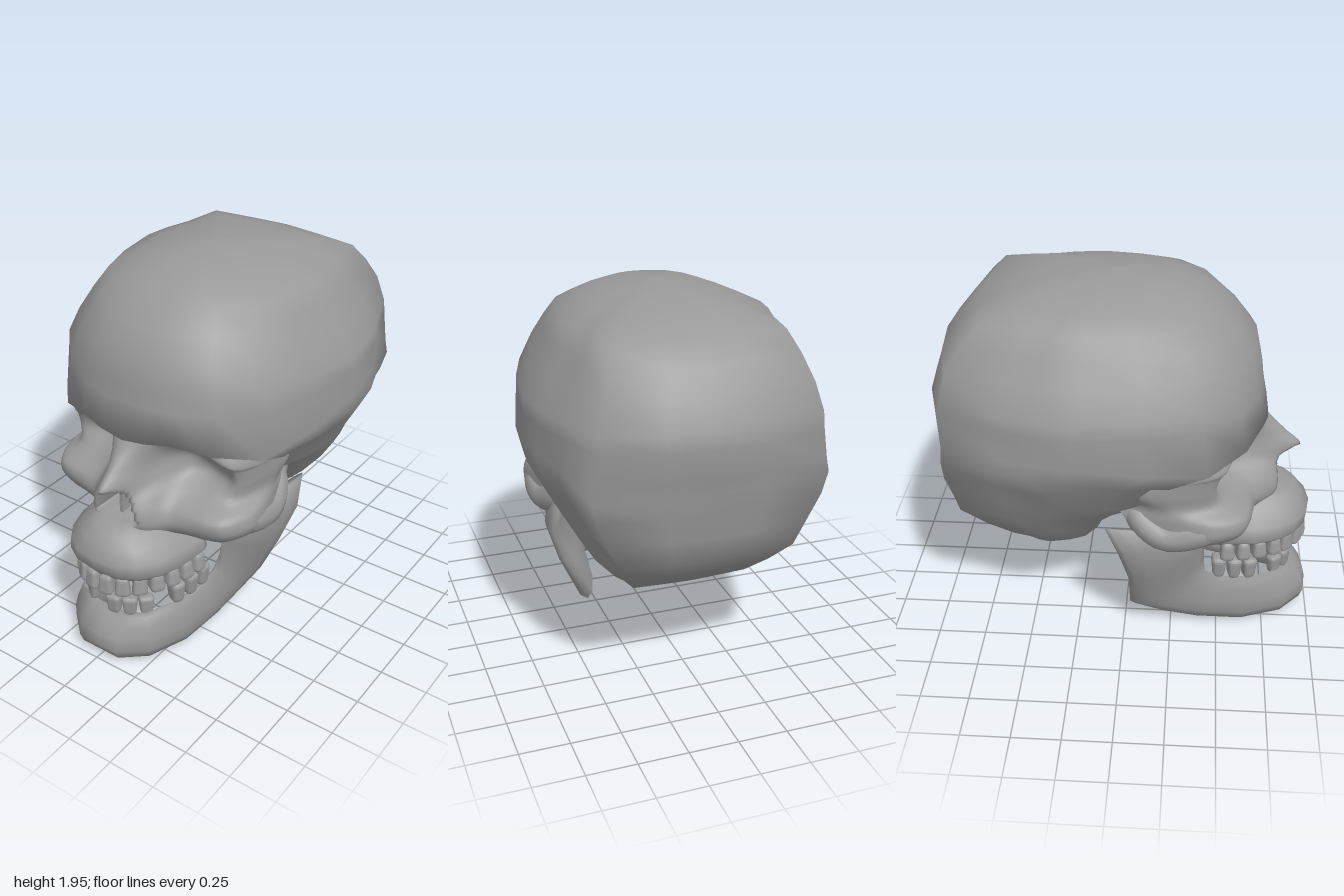
import * as THREE from 'three';
import { RoundedBoxGeometry } from 'three/addons/geometries/RoundedBoxGeometry.js';

const bone = new THREE.MeshStandardMaterial({ color: 0x999999 });
const thinBone = new THREE.MeshStandardMaterial({ color: 0x999999, side: THREE.DoubleSide });
const V = (x, y, z) => new THREE.Vector3(x, y, z);

function part(name, geometry, material = bone) {
  const mesh = new THREE.Mesh(geometry, material);
  mesh.name = name;
  return mesh;
}

function buildGeometry(points, index) {
  const g = new THREE.BufferGeometry().setFromPoints(points);
  g.setIndex(index);
  g.computeVertexNormals();
  return g;
}

// Skin closed rings (counter-clockwise about the path) and cap both ends.
function loft(rings) {
  const n = rings[0].length, last = rings.length - 1;
  const points = rings.flat(), index = [];
  for (let i = 0; i < last; i++) {
    for (let j = 0; j < n; j++) {
      const a = i * n + j, b = i * n + (j + 1) % n;
      index.push(a, b, a + n, b, b + n, a + n);
    }
  }
  for (const end of [0, last]) {
    const centre = points.length;
    points.push(rings[end].reduce((s, p) => s.add(p), V(0, 0, 0)).divideScalar(n));
    for (let j = 0; j < n; j++) {
      const a = end * n + j, b = end * n + (j + 1) % n;
      if (end) index.push(centre, a, b); else index.push(centre, b, a);
    }
  }
  return buildGeometry(points, index);
}

// Horizontal superellipse ring with its own front and back reach.
function ring(y, halfWidth, front, back, zc, n = 20, power = 2.4) {
  const bend = v => Math.sign(v) * Math.abs(v) ** (2 / power);
  return Array.from({ length: n }, (_, j) => {
    const a = j / n * Math.PI * 2, c = bend(Math.cos(a));
    return V(halfWidth * bend(Math.sin(a)), y, zc + c * (c > 0 ? front - zc : zc - back));
  });
}

// Braincase: one plan outline (x, z, brow droop), scaled at each level to
// y, half width, front z, back z. Rear corners get squarer away from mid height.
function cranium() {
  const half = [[0, 1, .04], [.18, .995, .02], [.36, .96, 0], [.6, .87, .04], [.83, .67, .09],
    [.94, .37, .05], [1, 0, 0], [.965, -.25, 0], [.89, -.5, 0], [.74, -.86, 0],
    [.35, -.97, 0], [0, -1, 0]];
  const outline = [...half, ...half.slice(1, -1).reverse().map(([x, u, d]) => [-x, u, d])];
  const levels = [
    [.49, .24, -.17, -.36], [.53, .36, -.12, -.61], [.64, .45, -.07, -.74],
    [.77, .53, .12, -.88], [.9, .605, .4, -.905], [1.04, .68, .42, -.935],
    [1.15, .74, .5, -.95], [1.225, .74, .725, -.965], [1.38, .735, .69, -.995],
    [1.46, .73, .68, -.968], [1.6, .65, .65, -.925], [1.72, .58, .56, -.83],
    [1.815, .52, .46, -.73], [1.87, .39, .36, -.58], [1.915, .26, .25, -.43],
    [1.938, .12, .07, -.22], [1.948, .03, -.03, -.09],
  ];
  return part('cranium', loft(levels.map(([y, w, front, back]) => {
    const zc = (front + back) / 2 - .07 * w / .74;
    const square = 1 + .12 * Math.min(1, Math.abs(y - 1.4) / .4);
    const brow = y > 1.1 && y < 1.3 ? 1 : 0;
    return outline.map(([x, u, droop]) => {
      const k = Math.abs(x) > .7 && Math.abs(x) < .8 ? square : 1;
      return V(x * w * k, y - droop * brow, zc + u * Math.sqrt(k) * (u > 0 ? front - zc : zc - back));
    });
  })));
}

// Face: rows of depths from midline to temple, smoothed into one surface.
function face() {
  const xs = [0, .07, .14, .22, .32, .42, .5, .57, .48];
  const rows = [
    [1.225, 1, [.67, .67, .66, .64, .6, .53, .44, .3, 0]],
    [1.15, 1, [.73, .70, .62, .56, .54, .54, .5, .28, -.1]],
    [1.05, 1, [.83, .74, .57, .46, .45, .47, .48, .2, -.1]],
    [.97, 1, [.91, .79, .62, .47, .43, .45, .46, .15, -.1]],
    [.89, .98, [.82, .8, .74, .60, .54, .52, .48, .25, -.05]],
    [.82, 1.04, [.81, .81, .78, .67, .65, .64, .6, .42, 0]],
    [.75, 1.05, [.8, .8, .78, .69, .66, .64, .6, .42, .05]],
    [.675, .97, [.74, .74, .72, .64, .60, .58, .54, .34, .1]],
    [.7, .9, [.4, .4, .4, .4, .35, .32, .3, .2, .1]],
  ];
  const across = rows.map(([y, w, zs]) => {
    const droop = x => (y > 1.1 ? .4 * Math.max(0, x - .34) : 0);
    const half = zs.map((z, i) => V(xs[i] * w, y - droop(xs[i]), z));
    const mirrored = half.slice(1).reverse().map(p => V(-p.x, p.y, p.z));
    return new THREE.CatmullRomCurve3([...mirrored, ...half]).getPoints(80);
  });
  const columns = across[0].map((_, c) =>
    new THREE.CatmullRomCurve3(across.map(row => row[c])).getPoints(48));
  // pear-shaped nasal opening
  for (const p of columns.flat()) {
    const halfWidth = .125 * Math.sqrt(Math.max(0, 1 - (p.y - .78) / .2));
    const inside = Math.min(halfWidth - Math.abs(p.x), p.y - .765, .965 - p.y);
    if (p.z > .6) p.z -= .2 * THREE.MathUtils.smoothstep(inside, 0, .03);
  }
  const m = columns[0].length, index = [];
  for (let c = 0; c < columns.length - 1; c++) {
    for (let r = 0; r < m - 1; r++) {
      const a = c * m + r;
      index.push(a, a + 1, a + m, a + 1, a + m + 1, a + m);
    }
  }
  return part('face', buildGeometry(columns.flat(), index), thinBone);
}

// Upper jaw block that carries the upper teeth
function maxilla() {
  const levels = [[.5, .3, .93], [.55, .345, .97], [.62, .325, .98],
    [.68, .265, .935], [.73, .21, .9], [.765, .17, .82]];
  return part('upperJaw', loft(levels.map(([y, w, f]) => ring(y, w, f, .42, .52))));
}

// Lower jaw: each station has a lower/rear edge, an upper/front edge and a thickness.
function mandible() {
  const half = [
    [V(0, .015, .92), V(0, .25, .87), .09],
    [V(.1, .005, .92), V(.09, .26, .87), .08],
    [V(.2, .005, .83), V(.2, .28, .83), .06],
    [V(.27, 0, .62), V(.28, .29, .68), .055],
    [V(.3, .03, .38), V(.32, .31, .52), .055],
    [V(.32, .075, .19), V(.34, .36, .43), .055],
    [V(.36, .15, .03), V(.36, .45, .42), .055],
    [V(.48, .4, .03), V(.38, .56, .42), .055],
    [V(.56, .62, -.02), V(.43, .66, .4), .045],
    [V(.54, .76, -.09), V(.46, .69, .2), .04],
  ];
  const flip = p => V(-p.x, p.y, p.z);
  const path = [...half.slice(1).reverse().map(([a, b, t]) => [flip(a), flip(b), t]), ...half];
  const mid = path.map(([a, b]) => a.clone().add(b).multiplyScalar(.5));
  const rings = path.map(([a, b, t], i) => {
    const along = mid[Math.min(i + 1, mid.length - 1)].clone().sub(mid[Math.max(i - 1, 0)]);
    const reach = b.clone().sub(a).multiplyScalar(.5);
    const out = along.cross(reach).normalize().multiplyScalar(t);
    return Array.from({ length: 12 }, (_, j) => {
      const u = j / 12 * Math.PI * 2, c = Math.cos(u);
      return mid[i].clone().addScaledVector(reach, c)
        .addScaledVector(out, Math.sin(u) * (1 - .35 * c));
    });
  });
  return part('lowerJaw', loft(rings));
}

// One tooth, narrowing from the crown (bottom) to the root (top)
function toothGeometry(w, h, d) {
  const g = new RoundedBoxGeometry(w, h, d, 2, Math.min(w, d) * .35);
  const p = g.attributes.position;
  for (let i = 0; i < p.count; i++) {
    const k = 1 - .3 * (p.getY(i) / h + .5);
    p.setX(i, p.getX(i) * k);
    p.setZ(i, p.getZ(i) * k);
  }
  g.computeVertexNormals();
  return g;
}

// A row of teeth spaced evenly round the dental arch
function teeth(name, lower, halfWidth, front, back, missing) {
  const row = new THREE.Group();
  row.name = name;
  const arch = new THREE.EllipseCurve(0, back, halfWidth, front - back, 0, Math.PI);
  const count = 14;
  for (let i = 0; i < count; i++) {
    if (missing.includes(i)) continue;
    const t = (i + .5) / count, p = arch.getPointAt(t), d = arch.getTangentAt(t);
    const molar = Math.abs(i - 6.5) > 3;
    const h = lower && molar ? .13 : .11;
    const y = lower ? (molar ? .34 + (.7 - p.y) * .15 : .31) : (molar ? .48 : .47);
    const tooth = part('tooth', toothGeometry(.085, h, molar ? .1 : .065));
    tooth.position.set(p.x, y, p.y);
    tooth.rotation.set(0, Math.atan2(-d.y, d.x), lower ? Math.PI : 0);
    row.add(tooth);
  }
  return row;
}

// Cheek arch running back from the cheekbone into the side of the braincase
function cheekArch(side) {
  const curve = new THREE.CatmullRomCurve3([
    V(.46, .77, .5), V(.53, .755, .4), V(.525, .715, .22), V(.48, .78, .1), V(.4, .87, .05),
  ].map(p => V(p.x * side, p.y, p.z)));
  return part(side > 0 ? 'leftCheekArch' : 'rightCheekArch',
    new THREE.TubeGeometry(curve, 14, .078, 10));
}

export function createModel() {
  const skull = new THREE.Group();
  skull.name = 'skull';
  skull.add(cranium(), face(), maxilla(), mandible(), cheekArch(1), cheekArch(-1));
  skull.add(teeth('upperTeeth', false, .305, .945, .5, []));
  skull.add(teeth('lowerTeeth', true, .3, .89, .46, [3, 7, 10]));

  // core joining the palate to the underside of the braincase
  skull.add(part('skullBase', loft([
    ring(.62, .14, .5, .2, .35), ring(.7, .22, .55, -.05, .25), ring(.9, .34, .4, -.2, .1),
  ])));

  // thin wall dividing the nasal opening
  const septum = part('nasalSeptum', new THREE.BoxGeometry(.02, .2, .16));
  septum.position.set(0, .86, .67);
  skull.add(septum);
  return skull;
}
